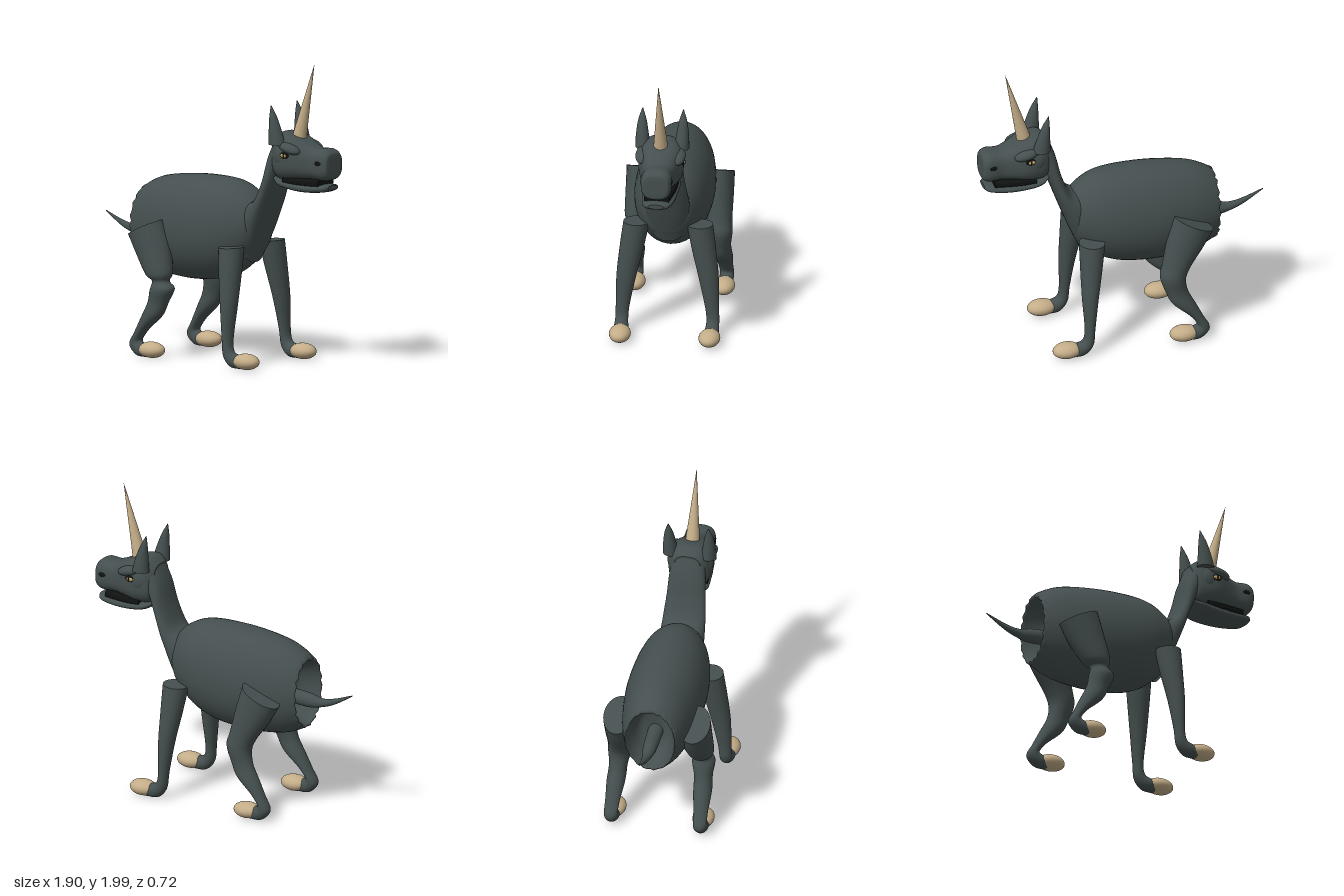
import * as THREE from 'three';

const mat = (name, color, extra = {}) => new THREE.MeshStandardMaterial({ name, color, ...extra });

// Lofted tube. Each ring is [xa, ya, xb, yb, zCentre, halfWidth]:
// two opposite edge points in the side plane plus depth. power < 1 squares the section.
function loft(rings, { sides = 28, steps = 6, power = 1, rag = 0 } = {}) {
  const a = new THREE.CatmullRomCurve3(rings.map(r => new THREE.Vector3(r[0], r[1], r[4])), false, 'catmullrom', 0.5);
  const b = new THREE.CatmullRomCurve3(rings.map(r => new THREE.Vector3(r[2], r[3], r[5])), false, 'catmullrom', 0.5);
  const n = (rings.length - 1) * steps;
  const pos = [], idx = [];
  const bend = v => Math.sign(v) * Math.pow(Math.abs(v), power);
  const addRing = t => {
    const p = a.getPoint(t), q = b.getPoint(t);
    for (let j = 0; j < sides; j++) {
      const th = j / sides * Math.PI * 2, c = bend(Math.cos(th)), s = bend(Math.sin(th));
      let x = (p.x + q.x) / 2 + c * (p.x - q.x) / 2;
      if (rag && x < -0.59) x += rag * Math.sin(j * 2.4);
      pos.push(x, (p.y + q.y) / 2 + c * (p.y - q.y) / 2, p.z + s * Math.max(q.z, 0.001));
    }
    return p.clone().add(new THREE.Vector3(q.x, q.y, p.z)).multiplyScalar(0.5);
  };
  for (let i = 0; i <= n; i++) addRing(i / n);
  for (let i = 0; i < n; i++) for (let j = 0; j < sides; j++) {
    const k = (j + 1) % sides, p = i * sides, q = p + sides;
    idx.push(p + j, p + k, q + j, p + k, q + k, q + j);
  }
  // flat end caps with their own vertices
  for (const end of [0, 1]) {
    const start = pos.length / 3, mid = addRing(end);
    pos.push(mid.x, mid.y, mid.z);
    for (let j = 0; j < sides; j++) {
      const k = (j + 1) % sides;
      if (end) idx.push(start + j, start + k, start + sides);
      else idx.push(start + k, start + j, start + sides);
    }
  }
  const g = new THREE.BufferGeometry();
  g.setAttribute('position', new THREE.Float32BufferAttribute(pos, 3));
  g.setIndex(idx);
  g.computeVertexNormals();
  return g;
}

export function createModel() {
  const model = new THREE.Group();
  model.name = 'hornedAnimal';
  const hide = mat('slateHide', 0x454f4f);
  const ivory = mat('ivory', 0xc4ad88);
  const black = mat('black', 0x101212);
  const amber = mat('amberEye', 0xc8a564);

  const add = (name, geo, material) => {
    const m = new THREE.Mesh(geo, material);
    m.name = name;
    model.add(m);
    return m;
  };
  const blob = (name, material, x, y, z, rx, ry, rz, tilt = 0) => {
    const m = add(name, new THREE.SphereGeometry(1, 28, 18), material);
    m.position.set(x, y, z);
    m.scale.set(rx, ry, rz);
    m.rotation.z = tilt;
    return m;
  };
  const side = (rings, s) => rings.map(r => r.map((v, i) => i === 4 ? v * s : v));

  // Barrel body, hollowed at the rear with a ragged rim
  add('body', loft([
    [-0.44, 0.85, -0.44, 0.79, 0, 0.02],
    [-0.47, 0.98, -0.47, 0.68, 0, 0.10],
    [-0.56, 1.03, -0.56, 0.63, 0, 0.145],
    [-0.615, 1.05, -0.615, 0.61, 0, 0.16],
    [-0.59, 1.09, -0.59, 0.585, 0, 0.18],
    [-0.45, 1.155, -0.45, 0.53, 0, 0.22],
    [-0.22, 1.19, -0.22, 0.508, 0, 0.252],
    [0, 1.198, 0, 0.525, 0, 0.25],
    [0.15, 1.185, 0.14, 0.57, 0, 0.228],
    [0.25, 1.145, 0.23, 0.63, 0, 0.195],
    [0.325, 1.085, 0.31, 0.71, 0, 0.15],
    [0.355, 1.0, 0.35, 0.80, 0, 0.09],
  ], { sides: 48, rag: 0.007 }), hide);

  add('neck', loft([
    [0.20, 1.02, 0.29, 0.66, 0, 0.13],
    [0.28, 1.06, 0.36, 0.82, 0, 0.145],
    [0.36, 1.10, 0.44, 1.03, 0, 0.14],
    [0.415, 1.22, 0.495, 1.18, 0, 0.128],
    [0.455, 1.38, 0.54, 1.28, 0, 0.12],
    [0.50, 1.50, 0.60, 1.36, 0, 0.11],
  ], { power: 0.85 }), hide);

  add('tail', loft([
    [-0.44, 0.75, -0.44, 0.84, 0, 0.05],
    [-0.62, 0.735, -0.62, 0.83, 0, 0.045],
    [-0.72, 0.752, -0.72, 0.81, 0, 0.03],
    [-0.82, 0.79, -0.815, 0.828, 0, 0.017],
    [-0.95, 0.87, -0.95, 0.877, 0, 0.003],
  ]), hide);

  // Head and jaw
  add('head', loft([
    [0.495, 1.50, 0.50, 1.30, 0, 0.09],
    [0.55, 1.545, 0.53, 1.24, 0, 0.13],
    [0.62, 1.54, 0.61, 1.23, 0, 0.145],
    [0.68, 1.52, 0.68, 1.24, 0, 0.14],
    [0.75, 1.485, 0.75, 1.25, 0, 0.115],
    [0.82, 1.46, 0.82, 1.255, 0, 0.097],
    [0.90, 1.462, 0.90, 1.252, 0, 0.10],
    [0.94, 1.44, 0.94, 1.27, 0, 0.085],
    [0.947, 1.41, 0.947, 1.30, 0, 0.06],
  ], { power: 0.72, sides: 40 }), hide);
  add('jaw', loft([
    [0.51, 1.26, 0.515, 1.22, 0, 0.09],
    [0.57, 1.245, 0.57, 1.19, 0, 0.12],
    [0.68, 1.233, 0.68, 1.168, 0, 0.115],
    [0.80, 1.225, 0.80, 1.167, 0, 0.105],
    [0.90, 1.228, 0.90, 1.18, 0, 0.085],
    [0.932, 1.225, 0.932, 1.195, 0, 0.05],
  ], { power: 0.8 }), hide);
  add('mouth', loft([
    [0.60, 1.262, 0.60, 1.215, 0, 0.112],
    [0.72, 1.262, 0.72, 1.21, 0, 0.105],
    [0.87, 1.262, 0.87, 1.21, 0, 0.082],
  ], { power: 0.5 }), black);

  // Horn
  const foot = new THREE.Vector3(0.655, 1.51, 0), tip = new THREE.Vector3(0.78, 2, 0);
  const horn = add('horn', new THREE.ConeGeometry(0.047, foot.distanceTo(tip), 28), ivory);
  horn.position.copy(foot).lerp(tip, 0.5);
  horn.quaternion.setFromUnitVectors(new THREE.Vector3(0, 1, 0), tip.clone().sub(foot).normalize());

  const ear = [
    [0.515, 1.47, 0.63, 1.47, 0.125, 0.05],
    [0.517, 1.55, 0.61, 1.54, 0.13, 0.042],
    [0.52, 1.64, 0.573, 1.64, 0.132, 0.028],
    [0.525, 1.72, 0.53, 1.72, 0.132, 0.003],
  ];
  const frontLeg = [
    [0.342, 0.785, 0.172, 0.775, 0.205, 0.085],
    [0.342, 0.60, 0.20, 0.60, 0.235, 0.078],
    [0.34, 0.40, 0.235, 0.40, 0.268, 0.064],
    [0.33, 0.20, 0.262, 0.20, 0.29, 0.045],
    [0.345, 0.12, 0.275, 0.085, 0.295, 0.042],
    [0.395, 0.10, 0.33, 0.02, 0.293, 0.048],
    [0.44, 0.09, 0.41, 0.012, 0.293, 0.048],
  ];
  const thigh = [
    [-0.285, 0.91, -0.54, 0.79, 0.25, 0.10],
    [-0.235, 0.74, -0.47, 0.67, 0.25, 0.10],
    [-0.20, 0.58, -0.385, 0.55, 0.265, 0.083],
  ];
  const knobbedKnee = [
    [-0.215, 0.515, -0.335, 0.515, 0.27, 0.055],
    [-0.175, 0.47, -0.345, 0.455, 0.275, 0.075],
  ];
  const smoothKnee = [[-0.18, 0.49, -0.35, 0.465, 0.275, 0.077]];
  const shin = [
    [-0.215, 0.38, -0.365, 0.37, 0.28, 0.06],
    [-0.26, 0.29, -0.415, 0.27, 0.285, 0.06],
    [-0.37, 0.19, -0.465, 0.17, 0.29, 0.048],
    [-0.42, 0.12, -0.505, 0.085, 0.293, 0.045],
    [-0.39, 0.10, -0.45, 0.02, 0.293, 0.047],
    [-0.34, 0.09, -0.37, 0.012, 0.293, 0.047],
  ];

  for (const s of [1, -1]) {
    add('ear', loft(side(ear, s)), hide);
    blob('brow', hide, 0.665, 1.452, s * 0.115, 0.085, 0.034, 0.047, -0.25);
    blob('cheek', hide, 0.60, 1.40, s * 0.115, 0.06, 0.075, 0.035);
    // Eyes and nostrils
    blob('eyeSocket', black, 0.645, 1.408, s * 0.142, 0.034, 0.021, 0.012);
    blob('eye', amber, 0.643, 1.407, s * 0.145, 0.026, 0.015, 0.013);
    blob('pupil', black, 0.647, 1.407, s * 0.155, 0.006, 0.014, 0.005);
    blob('nostril', black, 0.885, 1.373, s * 0.097, 0.025, 0.015, 0.007);
    // Legs and hooves
    add('frontLeg', loft(side(frontLeg, s)), hide);
    add('hindLeg', loft(side([...thigh, ...(s > 0 ? knobbedKnee : smoothKnee), ...shin], s)), hide);
    blob('frontHoof', ivory, 0.45, 0.063, s * 0.29, 0.095, 0.052, 0.07);
    blob('hindHoof', ivory, -0.335, 0.063, s * 0.29, 0.095, 0.052, 0.07);
  }
  return model;
}
